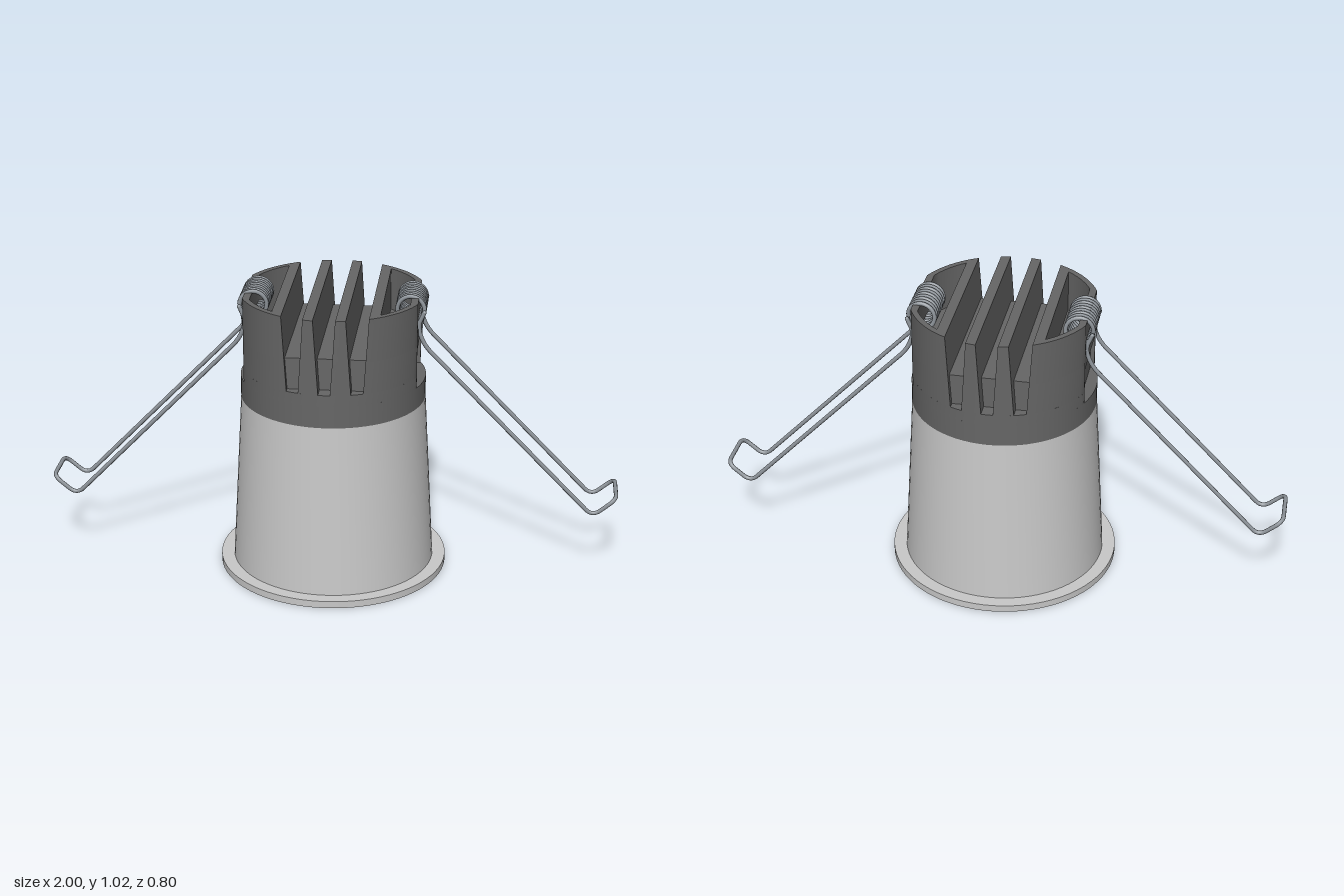
import * as THREE from 'three';
import { toCreasedNormals } from 'three/addons/utils/BufferGeometryUtils.js';

const R = 0.32;          // heat sink radius
const FLAT = 0.295;      // flat sides behind the springs
const SLOT = 0.108;      // spacing of the cooling slots
const slotHalf = (y) => 0.02 + 0.017 * (y - 0.75) / 0.26; // slots widen upwards

// Points on the far half of a circle from x0 to x1
function arc(x0, x1, n = 8, r = R) {
  const a0 = Math.acos(x0 / r), a1 = Math.acos(x1 / r);
  return Array.from({ length: n + 1 }, (_, i) => {
    const a = a0 + (a1 - a0) * i / n;
    return [r * Math.cos(a), r * Math.sin(a)];
  });
}
const flip = (pts) => pts.map(([x, u]) => [x, -u]).reverse();
const turn = (pts) => pts.map(([x, u]) => [-x, -u]);

// Rounded side of the sink with its flat and shallow recess
function sideEnd(x) {
  const up = [[0.28, 0.115], [FLAT, 0.115], ...arc(FLAT, x, 10)];
  return [...flip(up), ...up];
}
function flatDisc() {
  const half = [...sideEnd(0.2), ...arc(0.2, -0.2, 16).slice(1, -1)];
  return [...half, ...turn(half)];
}
function notchedDisc(w) {
  const d = 0.27, o = SLOT + w, i = SLOT - w;
  const half = [...sideEnd(o), [o, d], [i, d], ...arc(i, w, 3), [w, d], [-w, d],
    ...arc(-w, -i, 3), [-i, d], [-o, d]];
  return [...half, ...turn(half)];
}
function finOutline(w) {
  const up = arc(SLOT - w, w, 3);
  return [...up, ...flip(up)];
}

// Solid between two matching outlines at heights y0 and y1, with an optional hole
function loft(y0, y1, low, high, hole = []) {
  const pos = [];
  const put = (y, p) => pos.push(p[0], y, -p[1]);
  const vec = (pts) => pts.map((p) => new THREE.Vector2(p[0], p[1]));
  const cap = (pts, y, up) => {
    const all = [...pts, ...hole];
    for (const f of THREE.ShapeUtils.triangulateShape(vec(pts), hole.length ? [vec(hole)] : [])) {
      for (const k of up ? f : [f[0], f[2], f[1]]) put(y, all[k]);
    }
  };
  const wall = (a, b) => a.forEach((p, i) => {
    const j = (i + 1) % a.length;
    put(y0, p); put(y0, a[j]); put(y1, b[j]);
    put(y0, p); put(y1, b[j]); put(y1, b[i]);
  });
  cap(low, y0, false);
  cap(high, y1, true);
  wall(low, high);
  if (hole.length) wall(hole, hole);
  const g = new THREE.BufferGeometry();
  g.setAttribute('position', new THREE.Float32BufferAttribute(pos, 3));
  return toCreasedNormals(g, 0.5);
}

// Polyline with rounded corners
function wirePath(points, r) {
  const path = new THREE.CurvePath();
  const p = points.map((a) => new THREE.Vector3(...a));
  let from = p[0];
  for (let i = 1; i < p.length - 1; i++) {
    const toward = (q) => {
      const d = q.clone().sub(p[i]);
      return p[i].clone().add(d.setLength(Math.min(r, d.length() * 0.45)));
    };
    const a = toward(p[i - 1]), b = toward(p[i + 1]);
    path.add(new THREE.LineCurve3(from, a));
    path.add(new THREE.QuadraticBezierCurve3(a, p[i], b));
    from = b;
  }
  path.add(new THREE.LineCurve3(from, p[p.length - 1]));
  return path;
}

class Coil extends THREE.Curve {
  getPoint(t, target = new THREE.Vector3()) {
    const a = t * Math.PI * 2 * 9;
    return target.set(0.268 + 0.046 * Math.cos(a), 0.968 + 0.046 * Math.sin(a), 0.063 - 0.162 * t);
  }
}

export function createModel() {
  const model = new THREE.Group();
  model.name = 'recessedDownlight';
  const material = (name, color) => Object.assign(new THREE.MeshStandardMaterial({ color }), { name });
  const trim = material('lightGrey', 0xc8c8c8);
  const dark = material('darkGrey', 0x666666);
  const steel = material('springSteel', 0x8c9298);
  const add = (parent, name, geo, mat) => {
    const m = new THREE.Mesh(geo, mat);
    m.name = name;
    parent.add(m);
    return m;
  };

  // Tapered hollow housing with its flange
  const profile = [[0, 0.6], [0.305, 0.6], [0.335, 0], [0.4, 0], [0.4, 0.025],
    [0.355, 0.025], [0.32, 0.633]].map(([x, y]) => new THREE.Vector2(x, y));
  add(model, 'housing', toCreasedNormals(new THREE.LatheGeometry(profile, 72), 0.5), trim);

  // Heat sink body, from the plain collar up to the notched rim
  const sink = new THREE.Group();
  sink.name = 'heatSink';
  model.add(sink);
  add(sink, 'collar', new THREE.CylinderGeometry(R, R, 0.08, 72), dark).position.y = 0.67;
  add(sink, 'flattedBody', loft(0.71, 0.75, flatDisc(), flatDisc()), dark);
  const w0 = slotHalf(0.75), w1 = slotHalf(0.86), w2 = slotHalf(1.01);
  add(sink, 'notchedBody', loft(0.75, 0.86, notchedDisc(w0), notchedDisc(w1)), dark);

  // Each side: hollow end block, cooling fin and two bars over the recess
  const pocketArc = arc(0.27, 0.18, 6, 0.3);
  const pocket = [...flip(pocketArc), ...pocketArc].reverse();
  for (const s of [1, -1]) {
    const side = new THREE.Group();
    side.name = s > 0 ? 'leftSinkSide' : 'rightSinkSide';
    side.rotation.y = s > 0 ? 0 : Math.PI;
    sink.add(side);
    add(side, 'endBlock', loft(0.86, 1.01, sideEnd(SLOT + w1), sideEnd(SLOT + w2), pocket), dark);
    add(side, 'coolingFin', loft(0.86, 1.01, finOutline(w1), finOutline(w2)), dark);
    for (const y of [0.8725, 0.9775]) {
      add(side, 'springBar', new THREE.BoxGeometry(0.018, 0.065, 0.24), dark).position.set(0.286, y, 0);
    }
  }

  // Spring clips: coil, its short tail, and the looped arm
  const wire = 0.0075, zf = 0.07, zb = -0.104;
  const leg = [[0.314, 0.962], [0.292, 0.91], [0.316, 0.845], [0.912, 0.232], [0.992, 0.3]];
  const arm = [...leg.map(([x, y]) => [x, y, zb]), ...leg.map(([x, y]) => [x, y, zf]).reverse()];
  const tail = [[0.314, 0.968, 0.063], [0.302, 0.92, 0.056], [0.3, 0.875, 0.055]];
  for (const s of [1, -1]) {
    const clip = new THREE.Group();
    clip.name = s > 0 ? 'leftSpringClip' : 'rightSpringClip';
    clip.scale.x = s;
    model.add(clip);
    add(clip, 'coil', new THREE.TubeGeometry(new Coil(), 216, wire, 8), steel);
    add(clip, 'arm', new THREE.TubeGeometry(wirePath(arm, 0.035), 320, wire, 8), steel);
    add(clip, 'tail', new THREE.TubeGeometry(wirePath(tail, 0.02), 16, wire, 8), steel);
    for (const p of [arm[0], arm[arm.length - 1], tail[2]]) {
      add(clip, 'wireEnd', new THREE.SphereGeometry(wire, 8, 6), steel).position.set(...p);
    }
  }
  return model;
}
